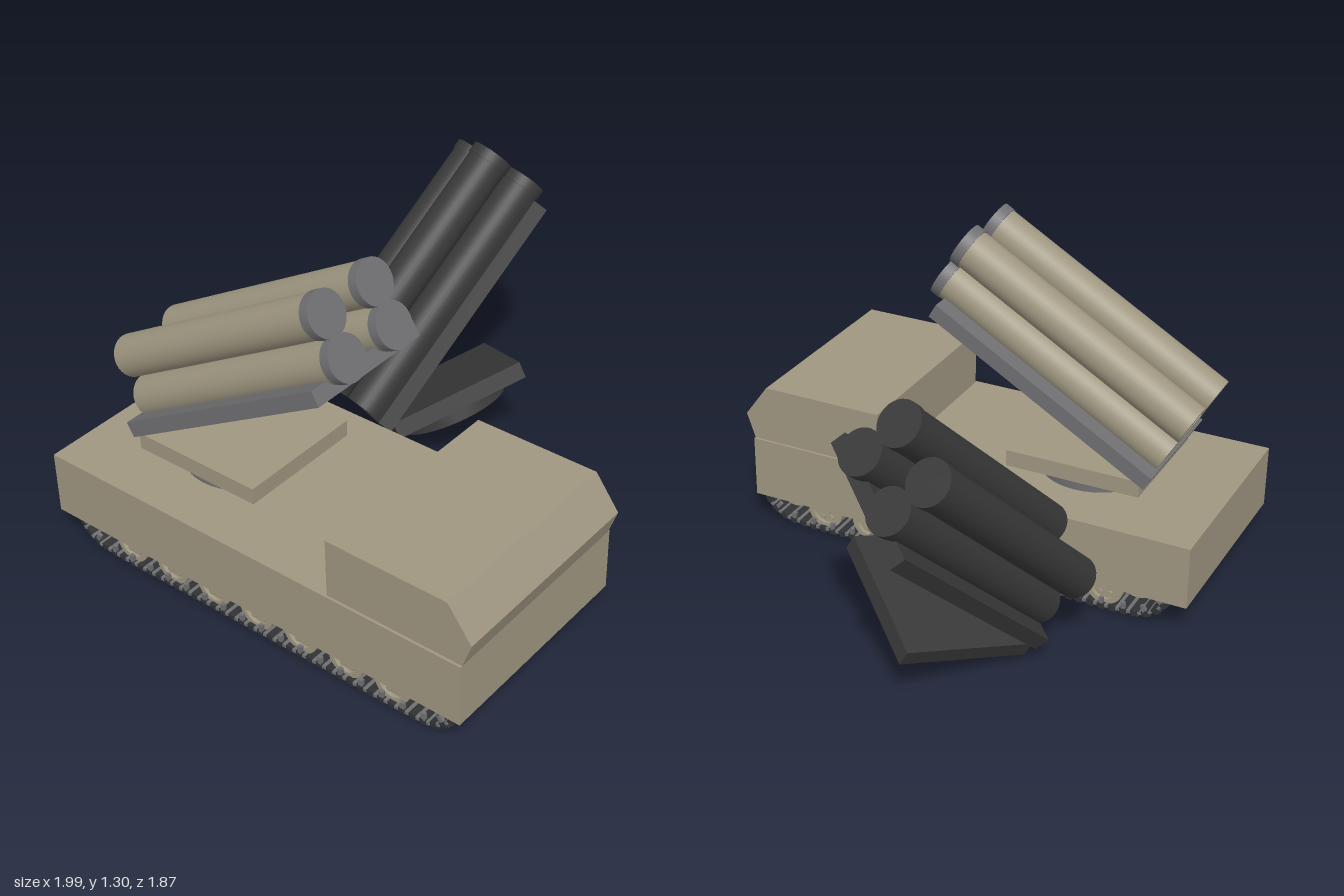
import * as THREE from 'three';

const mat = (name, color) => {
  const m = new THREE.MeshStandardMaterial({ color });
  m.name = name;
  return m;
};

export function createModel() {
  const tan = mat('tan', 0x9f9781);
  const grey = mat('grey', 0x707073);
  const dark = mat('charcoal', 0x393939);
  const rubber = mat('trackDark', 0x303234);

  const root = new THREE.Group();
  root.name = 'launcherVehicle';

  const add = (parent, name, geo, material, x = 0, y = 0, z = 0) => {
    const m = new THREE.Mesh(geo, material);
    m.name = name;
    m.position.set(x, y, z);
    parent.add(m);
    return m;
  };
  const box = (w, h, d) => new THREE.BoxGeometry(w, h, d);
  const cylZ = (r, len, n = 32) => new THREE.CylinderGeometry(r, r, len, n).rotateX(Math.PI / 2);
  const cylX = (r, len, n = 28) => new THREE.CylinderGeometry(r, r, len, n).rotateZ(Math.PI / 2);

  // Turntable, platform and raised rack of four tubes; origin at the platform underside
  function makeTurret(name, body, trim) {
    const turret = new THREE.Group();
    turret.name = name;
    add(turret, 'turntable', new THREE.CylinderGeometry(0.222, 0.222, 0.0525, 40), trim, 0, -0.02625, 0);
    add(turret, 'platform', box(0.51, 0.065, 0.54), body, 0, 0.0325, 0);
    const rack = new THREE.Group();
    rack.name = 'tubeRack';
    rack.position.set(0, -0.4125, 0.39);
    rack.rotation.x = -Math.PI / 6;
    turret.add(rack);
    add(rack, 'rackPlate', box(0.53, 0.06, 1.023), trim, 0, 0.765, 0.15);
    for (const x of [-0.123, 0.123]) {
      for (const y of [0.835, 0.995]) {
        add(rack, 'tube', cylZ(0.08, 1.036), body, x, y, 0.167);
        add(rack, 'tubeCap', cylZ(0.084, 0.04), trim, x, y, 0.705);
      }
    }
    return turret;
  }

  // Vehicle
  const vehicle = new THREE.Group();
  vehicle.name = 'vehicle';
  vehicle.position.x = -0.57;
  root.add(vehicle);
  add(vehicle, 'hull', box(0.86, 0.25, 1.835), tan, 0, 0.235, -0.0175);

  // Cab: side profile (z, y) extruded across the width
  const profile = new THREE.Shape([
    [0.345, 0.36], [0.90, 0.36], [0.935, 0.46], [0.84, 0.59], [0.345, 0.59],
  ].map(([z, y]) => new THREE.Vector2(z, y)));
  const cab = new THREE.ExtrudeGeometry(profile, { depth: 0.84, bevelEnabled: false });
  cab.rotateY(-Math.PI / 2).translate(0.42, 0, 0);
  add(vehicle, 'cab', cab, tan);

  const turret = makeTurret('launcher', tan, grey);
  turret.position.set(0, 0.4125, -0.39);
  vehicle.add(turret);

  // Road wheel: rim ring, recessed disc, hub and a circle of studs
  const rimShape = new THREE.Shape().absarc(0, 0, 0.075, 0, Math.PI * 2);
  rimShape.holes.push(new THREE.Path().absarc(0, 0, 0.056, 0, Math.PI * 2, true));
  const rimGeo = new THREE.ExtrudeGeometry(rimShape, { depth: 0.1, bevelEnabled: false, curveSegments: 14 });
  rimGeo.rotateY(Math.PI / 2).translate(-0.05, 0, 0);
  const discGeo = cylX(0.058, 0.07);
  const hubGeo = cylX(0.02, 0.1, 16);
  const studGeo = cylX(0.011, 0.088, 10);
  function makeWheel(z) {
    const wheel = new THREE.Group();
    wheel.name = 'roadWheel';
    wheel.position.set(0, 0.092, z);
    add(wheel, 'wheelRim', rimGeo, tan);
    add(wheel, 'wheelDisc', discGeo, tan);
    add(wheel, 'wheelHub', hubGeo, tan);
    for (let i = 0; i < 6; i++) {
      const a = (i / 6) * Math.PI * 2;
      add(wheel, 'wheelStud', studGeo, tan, 0, 0.039 * Math.sin(a), 0.039 * Math.cos(a));
    }
    return wheel;
  }

  // Track run under the hull, rising at both ends
  const half = [[0.872, 0.15], [0.862, 0.108], [0.83, 0.062], [0.775, 0.028], [0.70, 0.018], [0.35, 0.018]];
  const pts = [...half, ...half.slice().reverse().map(([z, y]) => [-z + 0.012, y])];
  const path = new THREE.CatmullRomCurve3(pts.map(([z, y]) => new THREE.Vector3(0, y, z)));
  const linkGeo = box(0.13, 0.016, 0.041);
  const padGeo = box(0.052, 0.012, 0.026);
  const pinGeo = box(0.136, 0.012, 0.014);
  const hornGeo = box(0.014, 0.03, 0.016);
  const LINKS = 42;

  for (const side of [-1, 1]) {
    const track = new THREE.Group();
    track.name = side < 0 ? 'rightTrack' : 'leftTrack';
    track.position.x = side * 0.35;
    vehicle.add(track);
    for (let i = 0; i < 7; i++) track.add(makeWheel(0.6 - i * 0.2));
    for (const z of [0.74, -0.73]) add(track, 'endSprocket', cylX(0.07, 0.09), tan, 0, 0.148, z);
    for (let i = 0; i < LINKS; i++) {
      const u = (i + 0.5) / LINKS;
      const t = path.getTangentAt(u);
      const link = new THREE.Group();
      link.name = 'trackLink';
      link.position.copy(path.getPointAt(u));
      link.rotation.x = Math.atan2(t.y, -t.z);
      track.add(link);
      add(link, 'linkPlate', linkGeo, rubber);
      for (const x of [-0.034, 0.034]) add(link, 'linkPad', padGeo, rubber, x, -0.012, 0);
      add(link, 'linkPin', pinGeo, grey, 0, 0.003, 0.022);
      if (i % 2 === 0) {
        for (const x of [-0.058, 0.058]) add(link, 'guideHorn', hornGeo, grey, x, 0.018, 0);
      }
    }
  }

  // Detached dark copy of the launcher, tipped beside the vehicle
  const wreck = makeTurret('detachedLauncher', dark, dark);
  wreck.position.set(0.35, 0.195, -0.165);
  wreck.rotation.set(THREE.MathUtils.degToRad(-29.6), THREE.MathUtils.degToRad(56), 0);
  root.add(wreck);

  return root;
}
